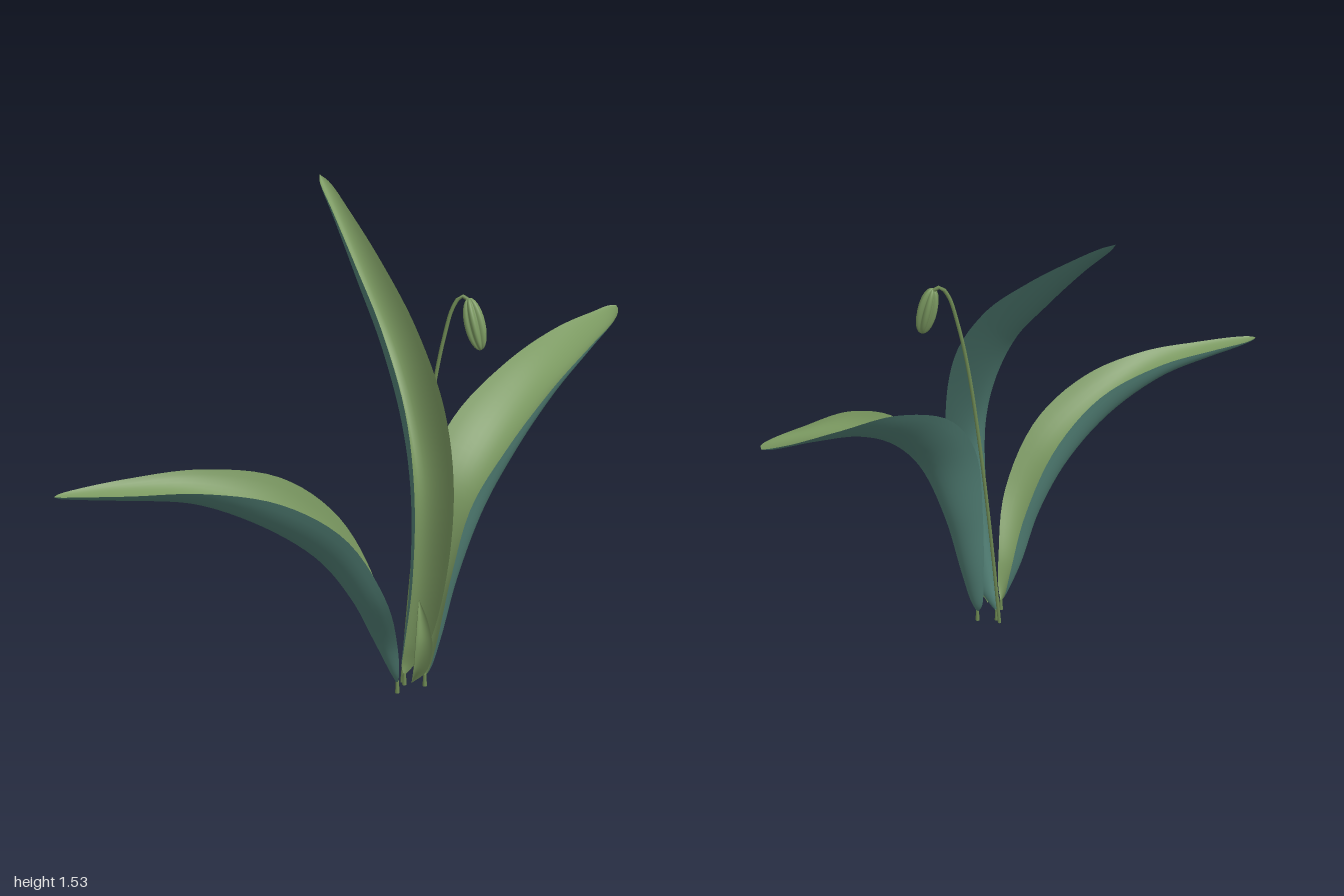
import * as THREE from 'three';

const mat = (name, color) => {
  const m = new THREE.MeshStandardMaterial({ color });
  m.name = name;
  return m;
};
const V = (p) => new THREE.Vector3(...p);

// Channelled blade: arc sections through left edge, keel and right edge.
// The outer skin runs slightly deeper than the inner one, so the blade has thickness.
function bladeGeometry(stations, outer) {
  const rows = 56, cols = 16, open = Math.PI * 0.36;
  const [left, keel, right] = [0, 1, 2].map((i) =>
    new THREE.CatmullRomCurve3(stations.map((s) => V(s.length === 1 ? s[0] : s[i])), false, 'centripetal'));
  const pos = [], index = [];
  for (let j = 0; j <= rows; j++) {
    const t = j / rows;
    const l = left.getPoint(t), k = keel.getPoint(t), r = right.getPoint(t);
    const mid = l.clone().add(r).multiplyScalar(0.5);
    const half = r.clone().sub(l).multiplyScalar(0.5);
    const depth = k.clone().sub(mid);
    if (outer) depth.setLength(depth.length() + 0.008 * Math.sin(Math.PI * t));
    for (let i = 0; i <= cols; i++) {
      const a = (i / cols * 2 - 1) * open;
      const p = mid.clone().addScaledVector(half, Math.sin(a) / Math.sin(open))
        .addScaledVector(depth, (Math.cos(a) - Math.cos(open)) / (1 - Math.cos(open)));
      pos.push(p.x, p.y, p.z);
      if (j < rows && i < cols) {
        const q = j * (cols + 1) + i, u = q + cols + 1;
        if (outer) index.push(q, u, q + 1, q + 1, u, u + 1);
        else index.push(q, q + 1, u, q + 1, u + 1, u);
      }
    }
  }
  const g = new THREE.BufferGeometry();
  g.setAttribute('position', new THREE.Float32BufferAttribute(pos, 3));
  g.setIndex(index);
  g.computeVertexNormals();
  return g;
}

// Each station: [base or tip] or [left edge, keel, right edge]
const backLeaf = [
  [[0.083, 0.03, 0.19]],
  [[0.066, 0.07, 0.21], [0.085, 0.07, 0.192], [0.106, 0.07, 0.21]],
  [[0.055, 0.15, 0.255], [0.09, 0.15, 0.215], [0.135, 0.15, 0.255]],
  [[0.045, 0.40, 0.345], [0.095, 0.38, 0.262], [0.157, 0.40, 0.34]],
  [[0.032, 0.70, 0.387], [0.09, 0.66, 0.282], [0.16, 0.70, 0.38]],
  [[0.022, 0.93, 0.335], [0.08, 0.86, 0.225], [0.147, 0.93, 0.33]],
  [[0.01, 1.14, 0.17], [0.06, 1.055, 0.115], [0.122, 1.135, 0.17]],
  [[0.003, 1.305, -0.05], [0.04, 1.235, -0.065], [0.09, 1.305, -0.05]],
  [[0.001, 1.437, -0.25], [0.024, 1.40, -0.25], [0.056, 1.437, -0.25]],
  [[0.002, 1.512, -0.375], [0.015, 1.50, -0.375], [0.033, 1.51, -0.37]],
  [[0.014, 1.53, -0.41]],
];
const leftLeaf = [
  [[0.14, 0.03, 0.22]],
  [[0.135, 0.07, 0.194], [0.154, 0.07, 0.222], [0.142, 0.07, 0.252]],
  [[0.135, 0.18, 0.18], [0.174, 0.18, 0.235], [0.15, 0.18, 0.293]],
  [[0.135, 0.42, 0.176], [0.21, 0.38, 0.25], [0.175, 0.40, 0.335]],
  [[0.165, 0.67, 0.155], [0.288, 0.60, 0.25], [0.235, 0.62, 0.342]],
  [[0.27, 0.83, 0.105], [0.408, 0.75, 0.185], [0.36, 0.775, 0.308]],
  [[0.50, 0.96, -0.015], [0.59, 0.885, 0.065], [0.57, 0.91, 0.175]],
  [[0.75, 1.03, -0.152], [0.80, 0.985, -0.078], [0.80, 0.995, -0.008]],
  [[0.91, 1.058, -0.212], [0.935, 1.04, -0.17], [0.945, 1.043, -0.128]],
  [[0.975, 1.07, -0.228], [0.98, 1.062, -0.21], [0.988, 1.063, -0.185]],
  [[1.0, 1.07, -0.222]],
];
const rightLeaf = [
  [[0.04, 0.03, 0.24]],
  [[0.037, 0.07, 0.262], [0.02, 0.07, 0.24], [0.04, 0.07, 0.212]],
  [[0.02, 0.18, 0.29], [-0.03, 0.18, 0.235], [0.03, 0.18, 0.185]],
  [[-0.05, 0.37, 0.372], [-0.115, 0.345, 0.27], [-0.02, 0.38, 0.175]],
  [[-0.19, 0.59, 0.405], [-0.225, 0.495, 0.28], [-0.14, 0.59, 0.185]],
  [[-0.38, 0.715, 0.402], [-0.395, 0.625, 0.29], [-0.32, 0.73, 0.20]],
  [[-0.60, 0.765, 0.38], [-0.60, 0.72, 0.285], [-0.56, 0.785, 0.215]],
  [[-0.80, 0.77, 0.347], [-0.80, 0.75, 0.282], [-0.78, 0.785, 0.23]],
  [[-0.94, 0.772, 0.312], [-0.93, 0.76, 0.28], [-0.94, 0.775, 0.25]],
  [[-0.985, 0.771, 0.294], [-0.985, 0.766, 0.28], [-0.985, 0.772, 0.266]],
  [[-1.0, 0.77, 0.28]],
];
const smallLeaf = [
  [[0.083, 0.03, 0.25]],
  [[0.061, 0.10, 0.322], [0.083, 0.10, 0.296], [0.105, 0.10, 0.322]],
  [[0.055, 0.19, 0.35], [0.083, 0.19, 0.322], [0.111, 0.19, 0.35]],
  [[0.066, 0.27, 0.335], [0.083, 0.27, 0.316], [0.100, 0.27, 0.335]],
  [[0.083, 0.33, 0.305]],
];

export function createModel() {
  const green = mat('leaf green', 0x7a9860);
  const teal = mat('underside teal', 0x4f7c72);
  const stemGreen = mat('stem green', 0x6c8752);
  const model = new THREE.Group();
  model.name = 'plant';
  const add = (parent, name, geometry, material) => {
    const m = new THREE.Mesh(geometry, material);
    m.name = name;
    parent.add(m);
    return m;
  };

  // Leaves: green face, teal underside
  const leaves = { backLeaf, leftLeaf, rightLeaf, smallLeaf };
  for (const [name, stations] of Object.entries(leaves)) {
    const leaf = new THREE.Group();
    leaf.name = name;
    model.add(leaf);
    const small = name === 'smallLeaf';
    add(leaf, name + 'Inside', bladeGeometry(stations, false), green);
    add(leaf, name + 'Outside', bladeGeometry(stations, true), small ? green : teal);
    if (small) continue;
    // Short stalk at the foot
    const [x, , z] = stations[0][0];
    add(leaf, name + 'Stalk', new THREE.CylinderGeometry(0.005, 0.007, 0.04, 10), stemGreen).position.set(x, 0.02, z);
  }

  // Slender flower stem, hooked over at the top
  const path = new THREE.CatmullRomCurve3([
    [0.083, 0, 0.17], [0.104, 0.3, 0.176], [0.135, 0.65, 0.182], [0.17, 0.95, 0.188],
    [0.2, 1.11, 0.193], [0.227, 1.205, 0.198], [0.25, 1.235, 0.204], [0.268, 1.225, 0.215],
  ].map(V));
  add(model, 'flowerStem', new THREE.TubeGeometry(path, 64, 0.006, 8), stemGreen);

  // Nodding bud with deep lengthwise lobes
  const bud = new THREE.SphereGeometry(1, 64, 24);
  const p = bud.attributes.position;
  for (let i = 0; i < p.count; i++) {
    const a = Math.atan2(p.getZ(i), p.getX(i));
    const r = 0.022 + 0.011 * Math.abs(Math.cos(a * 3));
    p.setXYZ(i, p.getX(i) * r, p.getY(i) * 0.08, p.getZ(i) * r);
  }
  bud.computeVertexNormals();
  const budMesh = add(model, 'bud', bud, green);
  const top = V([0.268, 1.23, 0.217]), bottom = V([0.295, 1.078, 0.252]);
  budMesh.position.copy(top).add(bottom).multiplyScalar(0.5);
  budMesh.quaternion.setFromUnitVectors(V([0, 1, 0]), top.sub(bottom).normalize());
  return model;
}
